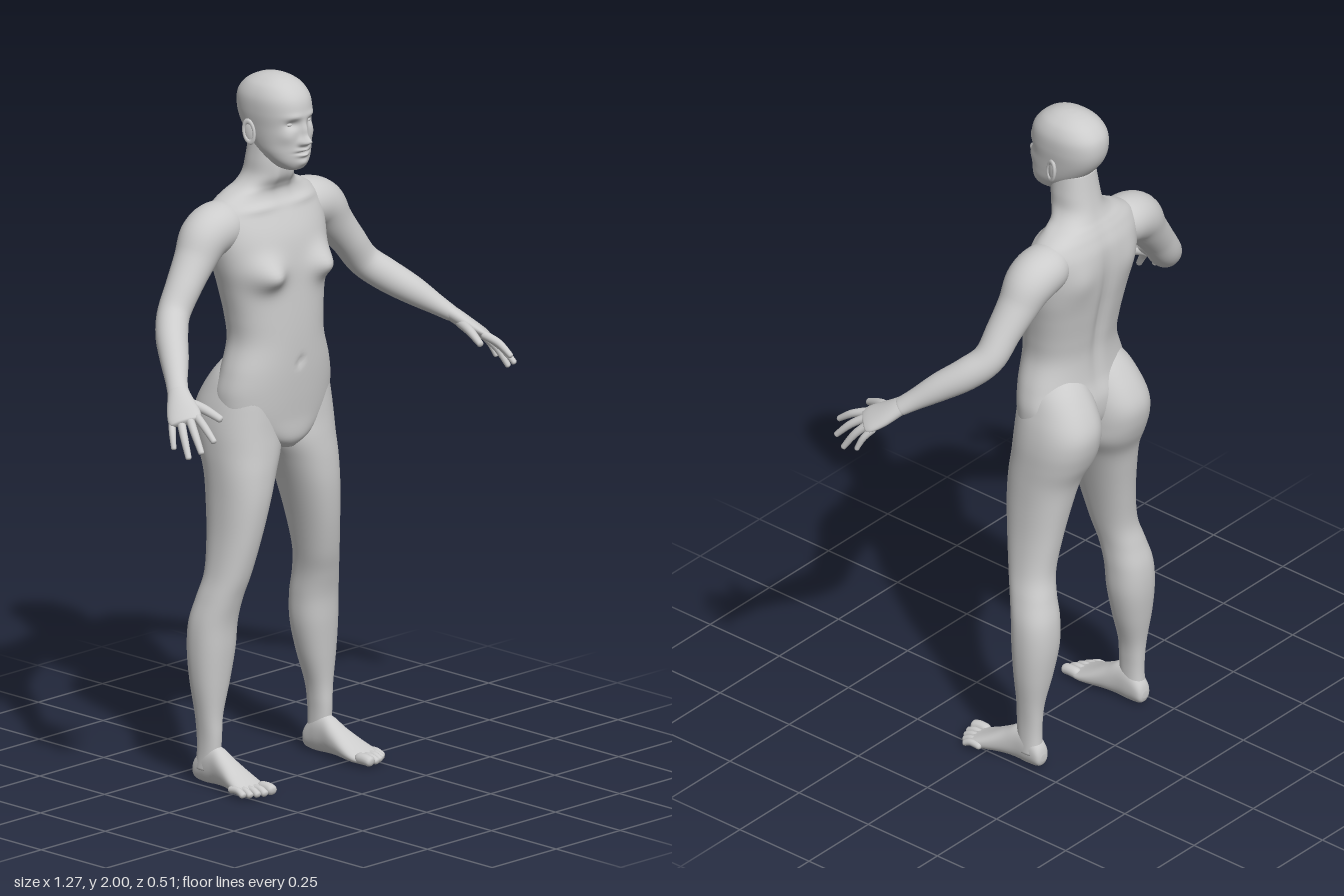
import * as THREE from 'three';

const material = new THREE.MeshStandardMaterial({ color: 0xcccccc, roughness: 0.8 });
const V = (x, y, z) => new THREE.Vector3(x, y, z);

// Catmull-Rom blend of number rows, t in 0..1
function blend(rows, t) {
  const n = rows.length - 1, f = Math.min(t * n, n - 1e-6), i = Math.floor(f), u = f - i;
  const [a, b, c, d] = [-1, 0, 1, 2].map((k) => rows[Math.min(n, Math.max(0, i + k))]);
  return b.map((v, k) => 0.5 * (2 * v + (c[k] - a[k]) * u + (2 * a[k] - 5 * v + 4 * c[k] - d[k]) * u * u
    + (3 * v - a[k] - 3 * c[k] + d[k]) * u * u * u));
}

// Closed skin over rings of points, with a centre point at each end
function skin(rings) {
  const m = rings[0].length, last = rings.length - 1, pos = [], idx = [];
  rings.forEach((r) => r.forEach((p) => pos.push(p.x, p.y, p.z)));
  for (let i = 0; i < last; i++) for (let j = 0; j < m; j++) {
    const a = i * m + j, b = i * m + (j + 1) % m;
    idx.push(a, b, b + m, a, b + m, a + m);
  }
  for (const e of [0, last]) {
    const c = rings[e].reduce((s, p) => s.add(p), V(0, 0, 0)).divideScalar(m), k = pos.length / 3;
    pos.push(c.x, c.y, c.z);
    for (let j = 0; j < m; j++) {
      const a = e * m + j, b = e * m + (j + 1) % m;
      if (e) idx.push(a, b, k); else idx.push(b, a, k);
    }
  }
  const g = new THREE.BufferGeometry();
  g.setAttribute('position', new THREE.Float32BufferAttribute(pos, 3));
  g.setIndex(idx);
  g.computeVertexNormals();
  return g;
}

// Rounded sections: rows of [height, u0, u1, v0, v1]
function loft(rows, place, segs = 48, steps = 7, power = 2.25) {
  const rings = [], n = (rows.length - 1) * steps;
  const sp = (c) => Math.sign(c) * Math.pow(Math.abs(c), 2 / power);
  for (let i = 0; i <= n; i++) {
    const [s, u0, u1, v0, v1] = blend(rows, i / n), ring = [];
    for (let j = 0; j < segs; j++) {
      const a = (j / segs) * Math.PI * 2;
      ring.push(place(s, (u0 + u1) / 2 + (u1 - u0) / 2 * sp(Math.cos(a)), (v0 + v1) / 2 + (v1 - v0) / 2 * sp(Math.sin(a))));
    }
    rings.push(ring);
  }
  return skin(rings);
}
const upright = (s, u, v) => V(u, s, v);
const forward = (s, u, v) => V(u, v, s);

// Limb swept through rows of [x, y, z, width radius, thickness radius], with rounded ends
function limb(rows, ref, segs = 16, n = 24) {
  const rings = [], at = (t) => V(...blend(rows, t));
  const len = at(0).distanceTo(at(0.5)) + at(0.5).distanceTo(at(1));
  for (let i = 0; i <= n; i++) {
    const t = (1 - Math.cos((Math.PI * i) / n)) / 2;
    const [x, y, z, ru, rv] = blend(rows, t);
    const T = at(Math.min(1, t + 0.01)).sub(at(Math.max(0, t - 0.01))).normalize();
    const U = ref.clone().cross(T).normalize(), W = T.clone().cross(U);
    const e = Math.min(1, (Math.min(t, 1 - t) * len) / rv), k = Math.max(0.03, Math.sqrt(1 - (1 - e) ** 2));
    rings.push(Array.from({ length: segs }, (_, j) => {
      const a = (j / segs) * Math.PI * 2;
      return V(x, y, z).addScaledVector(U, Math.cos(a) * ru * k).addScaledVector(W, Math.sin(a) * rv * k);
    }));
  }
  return skin(rings);
}

// Soft pushes on a surface, each [centre, radii, push], repeated on both sides
function sculpt(g, pushes) {
  const p = g.attributes.position, all = [];
  for (const [c, r, d] of pushes) {
    all.push([c, r, d]);
    if (c[0]) all.push([[-c[0], c[1], c[2]], r, [-d[0], d[1], d[2]]]);
  }
  for (let i = 0; i < p.count; i++) {
    const q = [p.getX(i), p.getY(i), p.getZ(i)], o = [...q];
    for (const [c, r, d] of all) {
      const w = Math.exp(-c.reduce((s, v, k) => s + ((q[k] - v) / r[k]) ** 2, 0));
      for (let k = 0; k < 3; k++) o[k] += d[k] * w;
    }
    p.setXYZ(i, ...o);
  }
  g.computeVertexNormals();
  return g;
}

function mirror(g) {
  const m = g.clone().scale(-1, 1, 1), a = m.index.array;
  for (let i = 0; i < a.length; i += 3) [a[i], a[i + 1]] = [a[i + 1], a[i]];
  m.computeVertexNormals();
  return m;
}

export function createModel() {
  const model = new THREE.Group();
  model.name = 'humanFigure';
  const add = (name, g) => {
    const mesh = new THREE.Mesh(g, material);
    mesh.name = name;
    model.add(mesh);
  };
  const pair = (name, g) => { add('left' + name, g); add('right' + name, mirror(g)); };

  // Torso and neck: [y, half width, front z, back z]
  const torso = loft([
    [0.94, 0.03, -0.02, -0.12], [0.97, 0.095, 0, -0.15], [1.03, 0.178, 0.004, -0.195], [1.1, 0.192, 0.01, -0.205],
    [1.17, 0.178, 0.014, -0.19], [1.25, 0.153, 0.015, -0.186], [1.32, 0.156, 0.013, -0.195], [1.4, 0.17, 0.008, -0.21],
    [1.47, 0.186, 0.002, -0.222], [1.54, 0.196, -0.012, -0.228], [1.6, 0.196, -0.037, -0.225], [1.64, 0.175, -0.06, -0.212],
    [1.665, 0.137, -0.068, -0.2], [1.685, 0.095, -0.062, -0.19], [1.715, 0.071, -0.046, -0.18],
    [1.76, 0.065, -0.042, -0.17], [1.82, 0.058, -0.045, -0.16],
  ].map(([y, w, f, b]) => [y, -w, w, f, b]), upright, 96, 7);
  add('torso', sculpt(torso, [
    [[0.108, 1.455, 0], [0.05, 0.042, 0.07], [0, -0.006, 0.045]], // chest
    [[0, 1.38, -0.21], [0.022, 0.2, 0.06], [0, 0, 0.015]], // spine
    [[0.1, 1.53, -0.2], [0.05, 0.06, 0.06], [0, 0, -0.012]], // shoulder blade
    [[0.09, 1.628, -0.05], [0.07, 0.012, 0.05], [0, 0.002, 0.007]], // collarbone
    [[0, 1.19, 0.015], [0.01, 0.012, 0.04], [0, 0, -0.009]], // navel
    [[0.03, 1.7, -0.05], [0.012, 0.05, 0.03], [0, 0, 0.004]], // neck muscle
  ]));

  // Head: [y, half width, front z, back z]
  const head = loft([
    [1.737, 0.018, 0, -0.045], [1.745, 0.036, 0.014, -0.065], [1.765, 0.055, 0.022, -0.09], [1.79, 0.067, 0.025, -0.125],
    [1.82, 0.073, 0.026, -0.16], [1.86, 0.078, 0.026, -0.19], [1.9, 0.082, 0.028, -0.203], [1.94, 0.08, 0.02, -0.2],
    [1.97, 0.066, -0.003, -0.178], [1.988, 0.044, -0.032, -0.148], [1.997, 0.022, -0.06, -0.118], [2, 0.003, -0.085, -0.092],
  ].map(([y, w, f, b]) => [y, -w, w, f, b]), upright, 128, 9);
  add('head', sculpt(head, [
    [[0, 1.826, 0.03], [0.013, 0.013, 0.06], [0, 0, 0.025]], // nose tip
    [[0, 1.853, 0.03], [0.01, 0.024, 0.06], [0, 0, 0.013]], // nose bridge
    [[0.013, 1.822, 0.03], [0.008, 0.008, 0.05], [0, 0, 0.011]], // nostrils
    [[0.034, 1.875, 0.02], [0.018, 0.012, 0.04], [0, 0, -0.012]], // eye sockets
    [[0.032, 1.897, 0.02], [0.026, 0.009, 0.04], [0, 0, 0.004]], // brows
    [[0.05, 1.842, 0.01], [0.02, 0.02, 0.04], [0.002, 0, 0.005]], // cheeks
    [[0, 1.801, 0.03], [0.021, 0.006, 0.05], [0, 0, 0.011]], // upper lip
    [[0, 1.786, 0.03], [0.018, 0.006, 0.05], [0, 0, 0.011]], // lower lip
    [[0, 1.793, 0.03], [0.023, 0.003, 0.05], [0, 0, -0.007]], // mouth line
    [[0, 1.763, 0.02], [0.02, 0.013, 0.05], [0, 0, 0.008]], // chin
  ]));
  pair('Eye', new THREE.SphereGeometry(0.013, 24, 16).scale(1.1, 0.6, 1).translate(0.034, 1.874, -0.002));

  // Ears: a thin shell with a raised rim
  const tilt = (g) => g.rotateX(-0.15).rotateY(-0.3).translate(0.087, 1.845, -0.098);
  pair('Ear', tilt(new THREE.SphereGeometry(1, 20, 14).scale(0.007, 0.033, 0.017)));
  pair('EarRim', tilt(new THREE.TorusGeometry(0.016, 0.0045, 10, 28).rotateY(Math.PI / 2).scale(1, 1.85, 1).translate(0.004, 0, 0)));

  // Legs with buttocks: [y, inner x, outer x, front z, back z]
  pair('Leg', loft([
    [0.04, 0.188, 0.245, -0.095, -0.168], [0.09, 0.189, 0.243, -0.09, -0.164], [0.14, 0.187, 0.244, -0.088, -0.165],
    [0.2, 0.179, 0.25, -0.088, -0.17], [0.29, 0.153, 0.262, -0.08, -0.186], [0.38, 0.134, 0.267, -0.072, -0.197],
    [0.46, 0.13, 0.263, -0.066, -0.195], [0.53, 0.127, 0.247, -0.05, -0.179], [0.6, 0.114, 0.229, -0.03, -0.166],
    [0.7, 0.09, 0.216, -0.01, -0.175], [0.8, 0.061, 0.211, 0.002, -0.19], [0.88, 0.033, 0.21, 0.003, -0.206],
    [0.945, 0.004, 0.21, -0.001, -0.235], [1, 0, 0.209, -0.006, -0.252], [1.05, 0, 0.203, -0.009, -0.255],
    [1.1, 0.002, 0.191, -0.012, -0.237], [1.16, 0.01, 0.169, -0.02, -0.2], [1.21, 0.03, 0.13, -0.04, -0.16],
  ], upright, 56, 6));

  // Feet: [z, inner x, outer x, sole y, top y]
  pair('Foot', loft([
    [-0.177, 0.203, 0.226, 0.022, 0.042], [-0.167, 0.19, 0.239, 0.005, 0.07], [-0.13, 0.185, 0.244, 0, 0.108],
    [-0.09, 0.183, 0.246, 0.002, 0.108], [-0.05, 0.178, 0.254, 0.003, 0.084], [0, 0.172, 0.268, 0.001, 0.055],
    [0.035, 0.172, 0.275, 0, 0.037], [0.058, 0.178, 0.272, 0.003, 0.027], [0.066, 0.19, 0.262, 0.008, 0.02],
  ], forward, 40, 6));
  [[0.191, 0.1, 0.016], [0.217, 0.096, 0.011], [0.237, 0.088, 0.0105], [0.255, 0.077, 0.01], [0.27, 0.064, 0.01]].forEach(([x, z, r], i) =>
    pair('Toe' + (i + 1), limb([[x, 0.019, z - 0.06, r, r], [x, 0.021, z - 0.025, r, r], [x + 0.002, r, z, r * 1.05, r * 0.9]], V(0, 1, 0), 14, 16)));

  // Arms: [x, y, z, width, thickness]
  const back = V(0.55, 0.8, 0.24).normalize();
  pair('Arm', limb([
    [0.09, 1.575, -0.138, 0.06, 0.06], [0.165, 1.583, -0.137, 0.074, 0.07], [0.225, 1.562, -0.135, 0.071, 0.07],
    [0.27, 1.507, -0.13, 0.059, 0.057], [0.32, 1.445, -0.122, 0.051, 0.049], [0.37, 1.378, -0.112, 0.046, 0.046],
    [0.417, 1.333, -0.072, 0.045, 0.046], [0.465, 1.29, -0.015, 0.04, 0.04], [0.51, 1.248, 0.038, 0.031, 0.028],
    [0.54, 1.22, 0.075, 0.029, 0.021],
  ], back, 40, 72));

  // Hands: palm, thumb and four fingers
  pair('Palm', limb([[0.515, 1.243, 0.045, 0.026, 0.02], [0.537, 1.223, 0.073, 0.031, 0.021], [0.56, 1.197, 0.107, 0.042, 0.02],
    [0.579, 1.178, 0.137, 0.047, 0.016], [0.59, 1.167, 0.153, 0.04, 0.012]], back, 28, 28));
  pair('Thumb', limb([[0.54, 1.207, 0.09, 0.016, 0.015], [0.522, 1.195, 0.15, 0.014, 0.013], [0.506, 1.17, 0.21, 0.01, 0.009]], back));
  const fingers = {
    Index: [[0.557, 1.182, 0.162], [0.58, 1.13, 0.255]], Middle: [[0.573, 1.178, 0.15], [0.612, 1.1, 0.237]],
    Ring: [[0.587, 1.173, 0.13], [0.625, 1.08, 0.2]], Little: [[0.598, 1.168, 0.108], [0.63, 1.098, 0.147]],
  };
  for (const [name, [a, b]] of Object.entries(fingers)) {
    const r = name === 'Little' ? 0.0095 : 0.011, mid = V(...a).lerp(V(...b), 0.5).addScaledVector(back, 0.008);
    pair(name + 'Finger', limb([[...a, r * 1.1, r * 1.1], [...mid.toArray(), r, r], [...b, r * 0.75, r * 0.7]], back));
  }
  return model;
}
